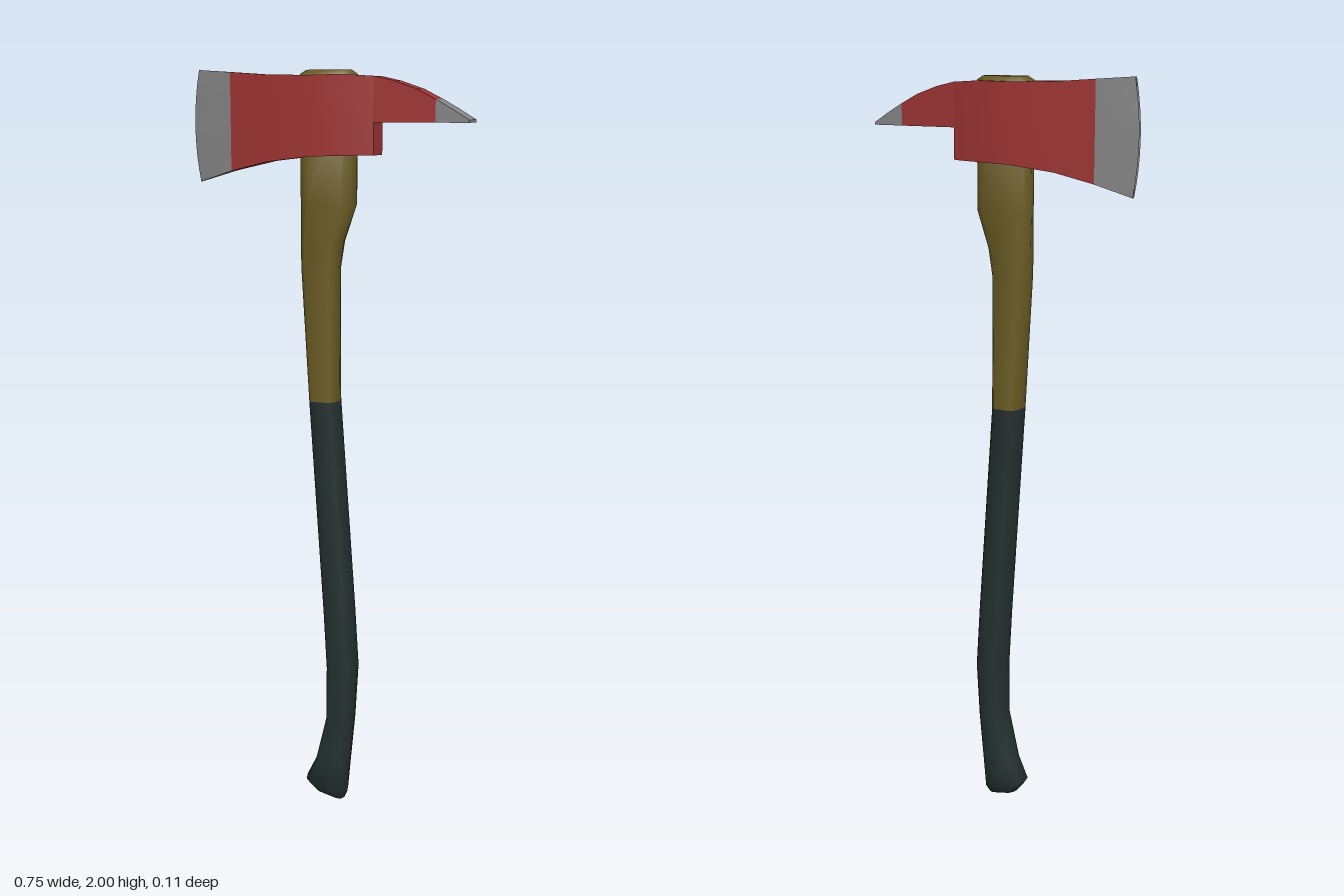
import * as THREE from 'three';
import { toCreasedNormals } from 'three/addons/utils/BufferGeometryUtils.js';

const mat = (name, color) => {
  const m = new THREE.MeshStandardMaterial({ color });
  m.name = name;
  return m;
};

// Skin a list of equal-length rings, optionally closing either end with a fan.
function loft(rings, capStart, capEnd, crease) {
  const n = rings[0].length, pos = rings.flat(2), idx = [];
  for (let i = 0; i < rings.length - 1; i++) {
    for (let j = 0; j < n; j++) {
      const a = i * n + j, b = i * n + (j + 1) % n;
      idx.push(a, a + n, b, b, a + n, b + n);
    }
  }
  const cap = (i, flip) => {
    const c = pos.length / 3;
    for (let k = 0; k < 3; k++) pos.push(rings[i].reduce((s, p) => s + p[k], 0) / n);
    for (let j = 0; j < n; j++) {
      const a = i * n + j, b = i * n + (j + 1) % n;
      idx.push(c, flip ? b : a, flip ? a : b);
    }
  };
  if (capStart) cap(0, false);
  if (capEnd) cap(rings.length - 1, true);
  const g = new THREE.BufferGeometry();
  g.setAttribute('position', new THREE.Float32BufferAttribute(pos, 3));
  g.setIndex(idx);
  return toCreasedNormals(g, crease);
}

// Rounded handle outline, unit half-sizes
const OUTLINE = [[1, 0], [0.88, 0.68], [0.62, 1], [-0.62, 1], [-0.88, 0.68],
  [-1, 0], [-0.88, -0.68], [-0.62, -1], [0.62, -1], [0.88, -0.68]];

// Handle ring from its left and right edge points; the ring may tilt
const handleRing = ([xl, yl, xr, yr, hz]) => OUTLINE.map(([u, w]) => {
  const t = (u + 1) / 2;
  return [xl + (xr - xl) * t, yl + (yr - yl) * t, w * hz];
});

// Head section: a front column of points mirrored to the back
const headRing = (front) => [...front, ...front.map(([x, y, z]) => [x, y, -z]).reverse()];
const boxRing = ([x, y0, y1, hz]) => headRing([[x, y0, hz], [x, y1, hz]]);

export function createModel() {
  const red = mat('red paint', 0xa03535);
  const steel = mat('bare steel', 0x868686);
  const wood = mat('handle wood', 0x6c5c24);
  const rubber = mat('dark grip', 0x24312f);

  const model = new THREE.Group();
  model.name = 'axe';
  const add = (name, geometry, material, parent) => {
    const m = new THREE.Mesh(geometry, material);
    m.name = name;
    parent.add(m);
  };

  const handle = new THREE.Group();
  handle.name = 'handle';
  const head = new THREE.Group();
  head.name = 'head';
  model.add(handle, head);

  // Dark lower grip with a flared, slanted knob
  add('grip', loft([
    [-0.04, 0.024, 0.045, 0.004, 0.022],
    [-0.066, 0.058, 0.054, 0.026, 0.04],
    [-0.036, 0.12, 0.06, 0.11, 0.04],
    [-0.004, 0.25, 0.072, 0.25, 0.04],
    [-0.003, 0.4, 0.081, 0.4, 0.04],
    [-0.012, 0.56, 0.071, 0.56, 0.04],
    [-0.052, 1.15, 0.028, 1.15, 0.04],
  ].map(handleRing), true, false, 1.1), rubber, handle);

  // Wooden upper shaft, running through the head
  add('shaft', loft([
    [-0.052, 1.15, 0.028, 1.15, 0.04],
    [-0.074, 1.5, 0.028, 1.5, 0.04],
    [-0.076, 1.57, 0.04, 1.57, 0.04],
    [-0.078, 1.665, 0.075, 1.665, 0.04],
    [-0.078, 1.988, 0.075, 1.988, 0.04],
    [-0.062, 1.998, 0.06, 1.998, 0.03],
  ].map(handleRing), false, true, 1.1), wood, handle);

  // Red body of the head, ending in the square step below the pick
  add('headBody', loft([
    [-0.265, 1.745, 1.994, 0.022],
    [-0.16, 1.77, 1.987, 0.037],
    [-0.04, 1.785, 1.985, 0.053],
    [0.045, 1.788, 1.987, 0.053],
    [0.13, 1.789, 1.982, 0.035],
  ].map(boxRing), false, true, 0.4), red, head);

  // Red pick, curving down
  add('pick', loft([
    [0.13, 1.87, 1.982, 0.035],
    [0.18, 1.87, 1.971, 0.035],
    [0.24, 1.87, 1.951, 0.035],
    [0.29, 1.87, 1.926, 0.035],
  ].map(boxRing), false, false, 0.4), red, head);
  add('pickTip', loft([
    [0.29, 1.87, 1.926, 0.035],
    [0.33, 1.87, 1.904, 0.035],
    [0.375, 1.87, 1.877, 0.035],
  ].map(boxRing), false, true, 0.4), steel, head);

  // Steel blade with a bowed cutting edge
  const edge = [], back = [];
  for (let i = 0; i <= 8; i++) {
    const t = i / 8;
    edge.push([-0.361 - 0.014 * (1 - (2 * t - 1) ** 2), 1.715 + 0.285 * t, 0.004]);
    back.push([-0.265, 1.745 + 0.249 * t, 0.022]);
  }
  add('blade', loft([headRing(edge), headRing(back)], true, false, 0.4), steel, head);

  return model;
}
